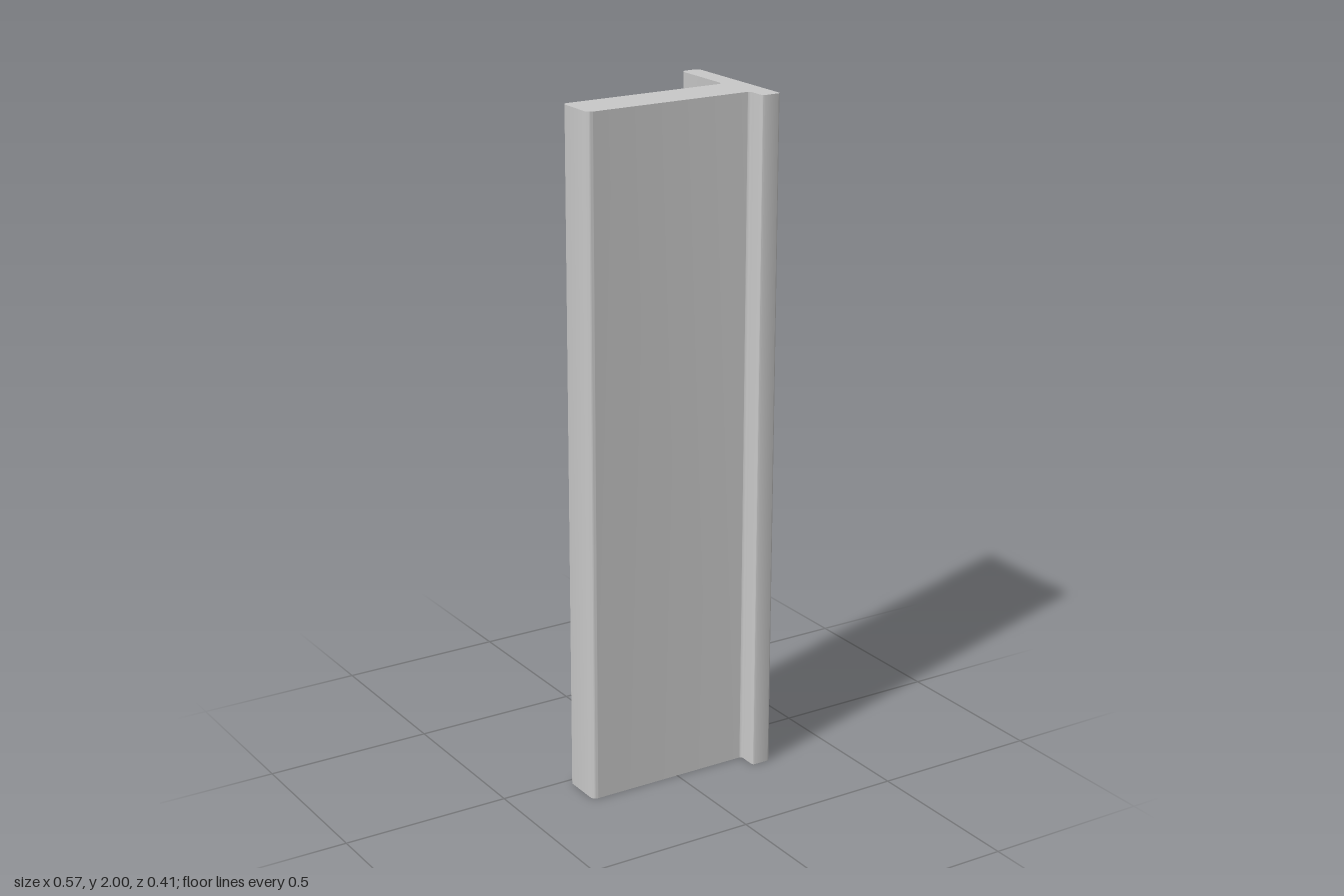
import * as THREE from 'three';
import { toCreasedNormals } from 'three/addons/utils/BufferGeometryUtils.js';

// Outline corners of the T-shaped section: x, z, corner radius (counter-clockwise in plan)
const CORNERS = [
  [-0.286, 0.142, 0.017],
  [0.227, 0.142, 0.009],   // small inner fillet
  [0.227, 0.203, 0.008],
  [0.286, 0.203, 0.008],
  [0.286, -0.203, 0.018],
  [0.227, -0.203, 0.018],
  [0.227, 0.01, 0.017],    // large inner fillet
  [-0.286, 0.01, 0.017],
];

// Rounds every corner with a circular arc, fine enough to keep the flat faces evenly shaded
function roundedOutline(corners) {
  const pts = [];
  const at = (i) => {
    const [x, z] = corners[(i + corners.length) % corners.length];
    return new THREE.Vector2(x, -z);
  };
  corners.forEach(([, , r], i) => {
    const p = at(i);
    const a = at(i - 1).sub(p).normalize();
    const b = at(i + 1).sub(p).normalize();
    const centre = p.clone().addScaledVector(a, r).addScaledVector(b, r);
    const steps = 24;
    for (let k = 0; k <= steps; k++) {
      const t = (k / steps) * Math.PI / 2;
      pts.push(centre.clone()
        .addScaledVector(b, -r * Math.cos(t))
        .addScaledVector(a, -r * Math.sin(t)));
    }
  });
  return new THREE.Shape(pts);
}

export function createModel() {
  const group = new THREE.Group();
  group.name = 'tProfile';

  const lightGrey = new THREE.MeshStandardMaterial({ color: 0xc8c8c8 });
  lightGrey.name = 'lightGrey';

  // Upright bar: wide web with an offset flange, extruded upward
  const raw = new THREE.ExtrudeGeometry(roundedOutline(CORNERS), { depth: 2, bevelEnabled: false });
  raw.rotateX(-Math.PI / 2);
  const bar = new THREE.Mesh(toCreasedNormals(raw, Math.PI / 6), lightGrey);
  bar.name = 'profileBar';
  group.add(bar);

  return group;
}
